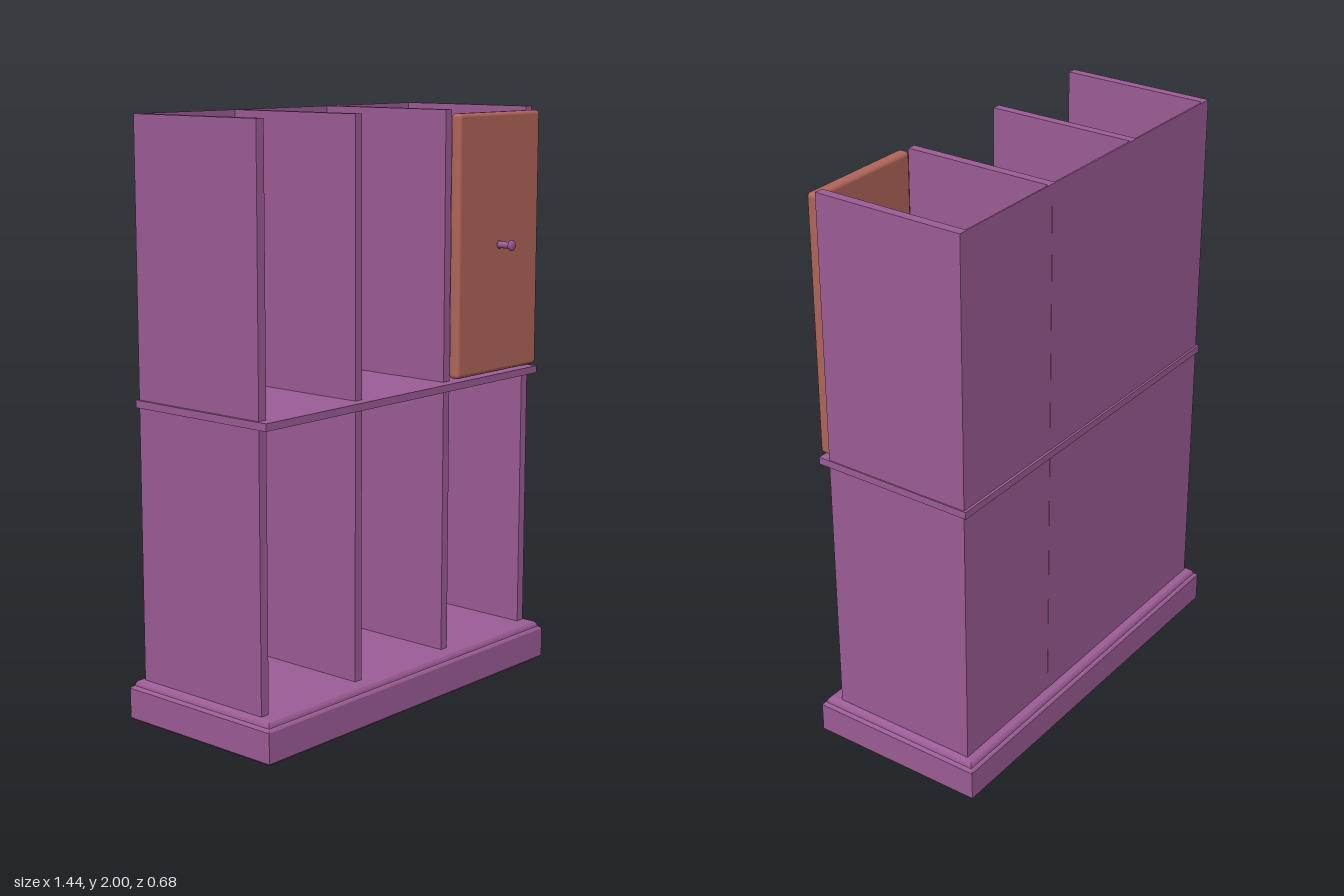
import * as THREE from 'three';
import { RoundedBoxGeometry } from 'three/addons/geometries/RoundedBoxGeometry.js';

const purple = new THREE.MeshStandardMaterial({ color: 0x9c5c96, flatShading: true });
const brown = new THREE.MeshStandardMaterial({ color: 0xb0655a });
const knobMaterial = new THREE.MeshStandardMaterial({ color: 0x9c5c96 });

// Box given by its minimum and maximum corners
function box(name, [x0, y0, z0], [x1, y1, z1]) {
  const mesh = new THREE.Mesh(new THREE.BoxGeometry(x1 - x0, y1 - y0, z1 - z0), purple);
  mesh.position.set((x0 + x1) / 2, (y0 + y1) / 2, (z0 + z1) / 2);
  mesh.name = name;
  return mesh;
}

// Rectangular plinth whose edge follows a profile of [inset, height] steps
function plinthGeometry(halfX, halfZ, profile) {
  const rings = profile.map(([inset, y]) => {
    const x = halfX - inset, z = halfZ - inset;
    return [[-x, y, z], [x, y, z], [x, y, -z], [-x, y, -z]];
  });
  const points = [];
  const quad = (a, b, c, d) => points.push(...a, ...b, ...c, ...a, ...c, ...d);
  for (let i = 0; i < rings.length - 1; i++) {
    for (let k = 0; k < 4; k++) {
      const n = (k + 1) % 4;
      quad(rings[i][k], rings[i][n], rings[i + 1][n], rings[i + 1][k]);
    }
  }
  const [a, b, c, d] = rings[0];
  quad(d, c, b, a);
  quad(...rings[rings.length - 1]);
  const geometry = new THREE.BufferGeometry();
  geometry.setAttribute('position', new THREE.Float32BufferAttribute(points, 3));
  geometry.computeVertexNormals();
  return geometry;
}

export function createModel() {
  const model = new THREE.Group();
  model.name = 'shelfCabinet';

  // Plinth with a moulded upper edge
  const plinth = new THREE.Mesh(plinthGeometry(0.72, 0.32, [
    [0.005, 0], [0, 0.006], [0, 0.108], [0.004, 0.114], [0.011, 0.117],
    [0.013, 0.126], [0.018, 0.134], [0.027, 0.138],
  ]), purple);
  plinth.position.z = -0.02;
  plinth.name = 'plinth';
  model.add(plinth);

  // Middle shelf, slightly wider than the carcass
  model.add(box('middleShelf', [-0.697, 1.06, -0.308], [0.692, 1.085, 0.275]));

  // Upright panels and thin backs for both storeys
  const uprights = [[-0.688, -0.655], [-0.242, -0.21], [0.211, 0.243], [0.655, 0.688]];
  for (const [storey, y0, y1] of [['lower', 0.138, 1.06], ['upper', 1.085, 2]]) {
    uprights.forEach(([x0, x1], i) => {
      const outer = i === 0 || i === 3;
      model.add(box(storey + (outer ? 'SidePanel' : 'Divider'), [x0, y0, -0.295], [x1, y1, 0.236]));
    });
    model.add(box(storey + 'WideBack', [-0.688, y0, -0.3], [0.227, y1, -0.294]));
    model.add(box(storey + 'NarrowBack', [0.227, y0, -0.299], [0.688, y1, -0.294]));
  }

  // Door over the upper compartment on the model's left
  const door = new THREE.Mesh(new RoundedBoxGeometry(0.448, 0.892, 0.042, 3, 0.014), brown);
  door.position.set(0.456, 1.541, 0.259);
  door.name = 'door';
  model.add(door);

  // Turned knob with a narrow stem and a wider cap
  const profile = [[0, 0], [0.015, 0], [0.012, 0.006], [0.011, 0.045], [0.018, 0.049], [0.018, 0.056], [0.014, 0.06], [0, 0.061]]
    .map(([r, h]) => new THREE.Vector2(r, h));
  const knob = new THREE.Mesh(new THREE.LatheGeometry(profile, 20), knobMaterial);
  knob.rotation.x = Math.PI / 2;
  knob.position.set(0.456, 1.537, 0.279);
  knob.name = 'doorKnob';
  model.add(knob);

  return model;
}
